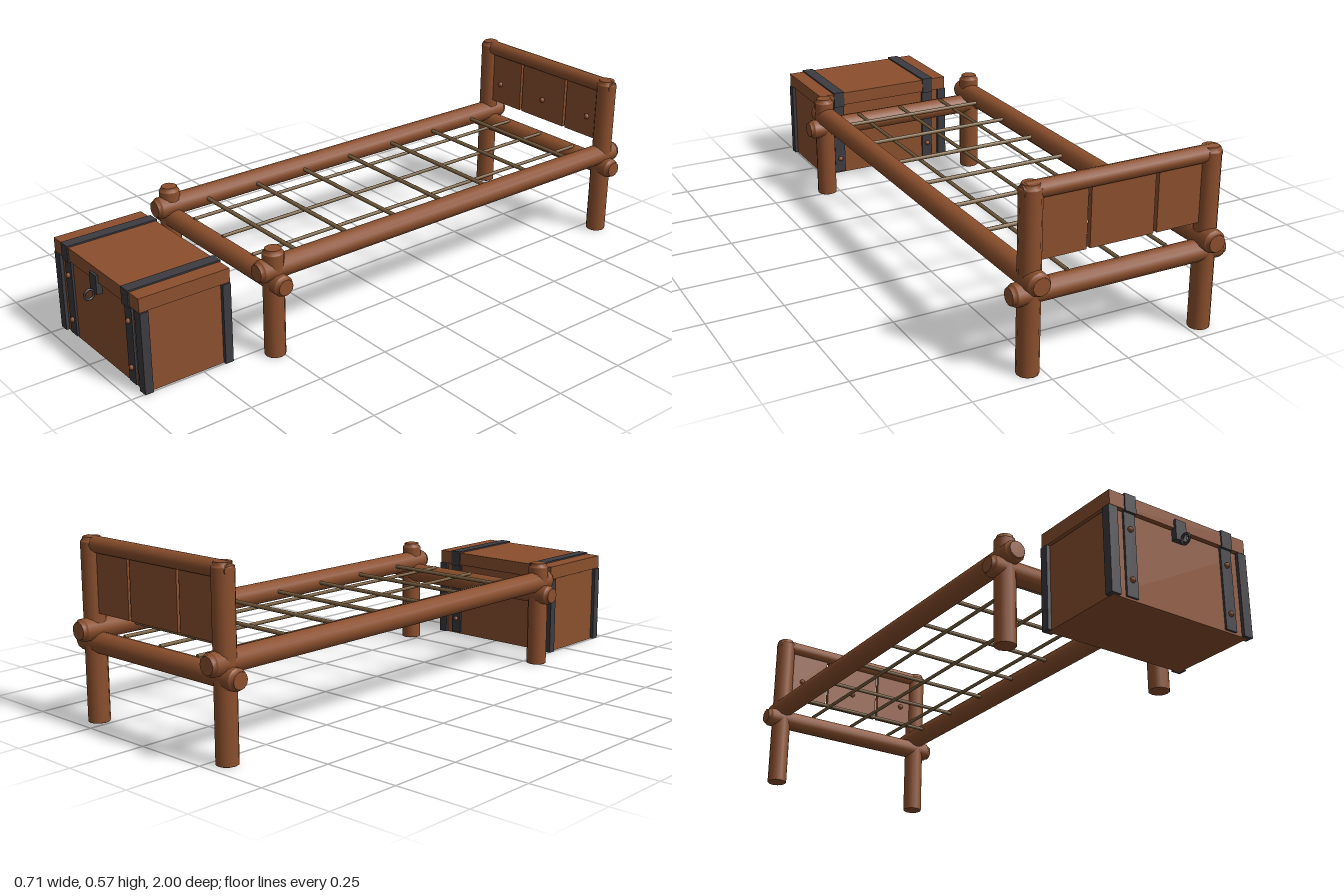
import * as THREE from 'three';

export function createModel() {
  const root = new THREE.Group();
  const material = (name, color) => {
    const m = new THREE.MeshStandardMaterial({ color });
    m.name = name;
    return m;
  };
  const wood = material('wood', 0x8b4f2d);
  const iron = material('iron', 0x3b3b41);
  const rope = material('rope', 0x7a6040);

  const bed = new THREE.Group();
  bed.name = 'bed';
  const chest = new THREE.Group();
  chest.name = 'chest';
  root.add(bed, chest);

  const add = (parent, name, geometry, mat, x = 0, y = 0, z = 0) => {
    const mesh = new THREE.Mesh(geometry, mat);
    mesh.name = name;
    mesh.position.set(x, y, z);
    parent.add(mesh);
    return mesh;
  };
  // Box given by its limits on each axis
  const box = (parent, name, mat, x0, x1, y0, y1, z0, z1) =>
    add(parent, name, new THREE.BoxGeometry(x1 - x0, y1 - y0, z1 - z0), mat,
      (x0 + x1) / 2, (y0 + y1) / 2, (z0 + z1) / 2);

  // Upright log with stepped, chamfered ends
  const logGeometry = (r, length, flatBase = false) => {
    const h = length / 2;
    const end = [[0, h], [r * 0.74, h], [r * 0.78, h - 0.001], [r * 0.8, h - 0.01],
      [r * 0.97, h - 0.013], [r, h - 0.016]];
    const base = flatBase ? [[0, -h], [r * 0.98, -h], [r, -h + 0.001]]
      : end.map(([x, y]) => [x, -y]);
    const points = [...base, ...end.reverse()].map(([x, y]) => new THREE.Vector2(x, y));
    return new THREE.LatheGeometry(points, 12);
  };

  // Posts and long rails, mirrored left and right
  for (const side of [-1, 1]) {
    const x = side * 0.293;
    add(bed, 'footPost', logGeometry(0.034, 0.36, true), wood, x, 0.18, 0.517);
    add(bed, 'headPost', logGeometry(0.034, 0.572, true), wood, x, 0.286, -0.935);
    add(bed, 'sideRail', logGeometry(0.036, 1.578), wood, side * 0.29, 0.292, -0.211)
      .rotation.x = Math.PI / 2;
  }

  // Cross rails and headboard rail
  for (const z of [0.515, -0.935]) {
    add(bed, 'crossRail', logGeometry(0.034, 0.712), wood, 0, 0.25, z).rotation.z = Math.PI / 2;
  }
  add(bed, 'headboardRail', logGeometry(0.026, 0.645), wood, 0, 0.549, -0.935)
    .rotation.z = Math.PI / 2;

  // Headboard panels with a peg in each
  for (const [x0, x1, peg] of [[-0.29, -0.116, -0.22], [-0.105, 0.105, 0], [0.116, 0.29, 0.22]]) {
    box(bed, 'headboardPanel', wood, x0, x1, 0.342, 0.54, -0.943, -0.927);
    add(bed, 'headboardPeg', new THREE.SphereGeometry(0.01, 12, 8), wood, peg, 0.416, -0.925);
  }

  // Rope net
  for (const x of [-0.165, 0, 0.165]) {
    add(bed, 'longRope', new THREE.CylinderGeometry(0.006, 0.006, 1.43, 8), rope, x, 0.283, -0.21)
      .rotation.x = Math.PI / 2;
  }
  for (let i = 0; i < 7; i++) {
    add(bed, 'crossRope', new THREE.CylinderGeometry(0.007, 0.007, 0.54, 8), rope,
      0, 0.292, -0.81 + i * 0.2).rotation.z = Math.PI / 2;
  }

  // Chest body and lid
  box(chest, 'chestBody', wood, -0.247, 0.247, 0.002, 0.27, 0.659, 0.946);
  box(chest, 'chestLid', wood, -0.255, 0.255, 0.273, 0.319, 0.648, 0.957);

  for (const side of [-1, 1]) {
    const span = (a, b) => (side > 0 ? [a, b] : [-b, -a]);
    // Corner irons
    for (const [z0, z1] of [[0.648, 0.676], [0.929, 0.957]]) {
      box(chest, 'cornerIron', iron, ...span(0.227, 0.259), 0.003, 0.272, z0, z1);
    }
    // Straps over the lid and down front and back
    const strap = span(0.162, 0.202);
    box(chest, 'lidStrap', iron, ...strap, 0.268, 0.324, 0.644, 0.961);
    for (const [z0, z1, rivet] of [[0.652, 0.662, 0.651], [0.943, 0.953, 0.954]]) {
      box(chest, 'bodyStrap', iron, ...strap, 0.008, 0.27, z0, z1);
      for (const y of [0.06, 0.216]) {
        add(chest, 'rivet', new THREE.SphereGeometry(0.009, 12, 8), wood, side * 0.182, y, rivet);
      }
    }
  }

  // Lock plate and ring
  box(chest, 'lockPlate', iron, -0.02, 0.02, 0.235, 0.299, 0.944, 0.965);
  add(chest, 'lockRing', new THREE.TorusGeometry(0.016, 0.004, 8, 20), iron, 0, 0.234, 0.98)
    .rotation.y = Math.PI / 2;

  return root;
}
